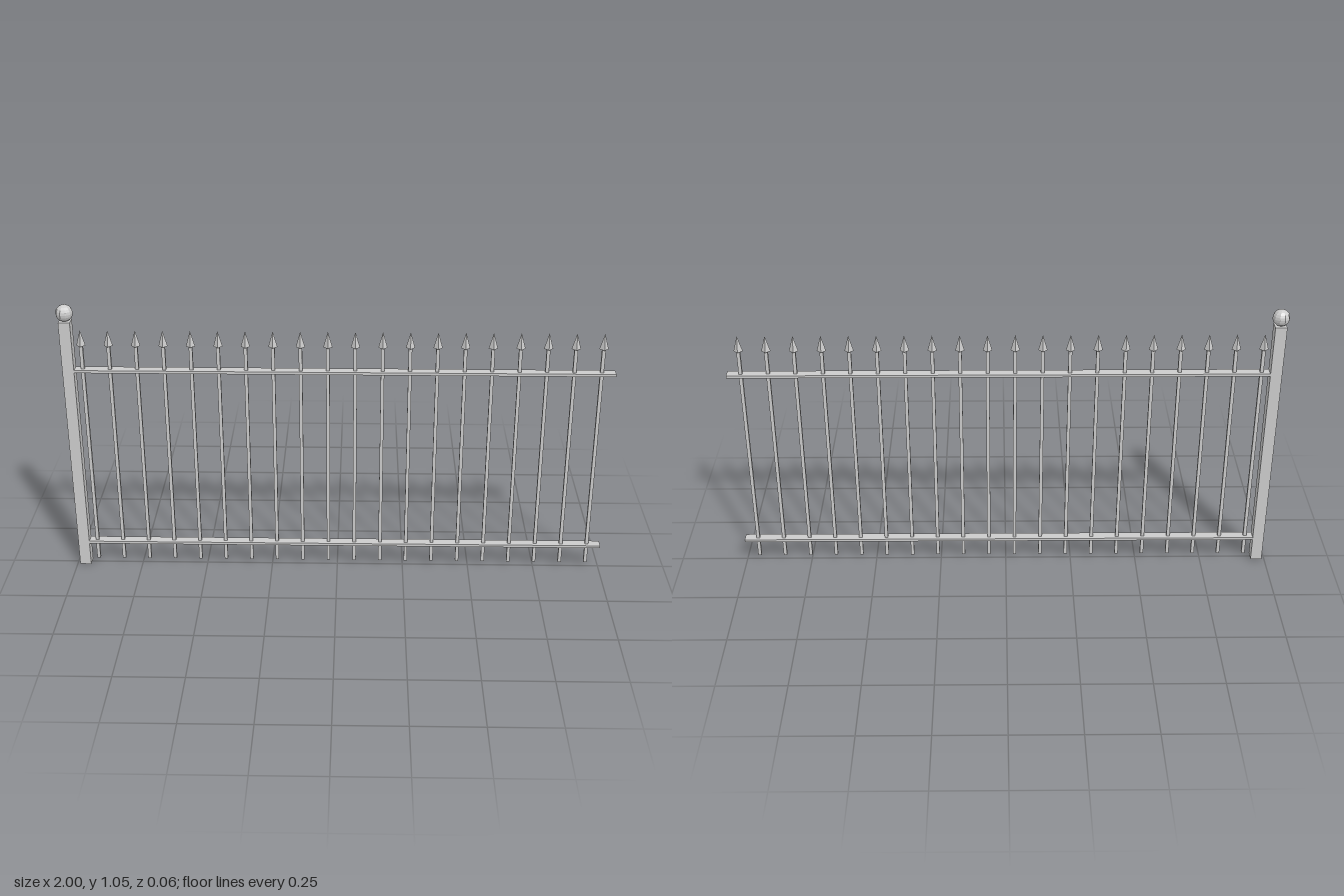
import * as THREE from 'three';

const material = new THREE.MeshStandardMaterial({ color: 0xcccccc, flatShading: true });

function add(parent, name, geometry, x, y, z = 0) {
  const mesh = new THREE.Mesh(geometry, material);
  mesh.name = name;
  mesh.position.set(x, y, z);
  parent.add(mesh);
  return mesh;
}

export function createModel() {
  const fence = new THREE.Group();
  fence.name = 'fence';

  // End post with ball finial
  const postX = -0.969, postHeight = 0.994, ballRadius = 0.031;
  add(fence, 'post', new THREE.BoxGeometry(0.042, postHeight, 0.042), postX, postHeight / 2);
  add(fence, 'postBall', new THREE.SphereGeometry(ballRadius, 10, 10), postX, postHeight + ballRadius - 0.001);

  // Flat horizontal rails, running from the post to the open end
  const railStart = -0.95, railEnd = 1;
  const railGeometry = new THREE.BoxGeometry(railEnd - railStart, 0.01, 0.038);
  for (const [name, y] of [['lowerRail', 0.095], ['upperRail', 0.805]]) {
    add(fence, name, railGeometry, (railStart + railEnd) / 2, y);
  }

  // Evenly spaced square pickets with four-sided spear tips, corners facing front
  const count = 20, firstX = -0.919, lastX = 0.95;
  const bottom = 0.02, shoulder = 0.9, tipTop = 0.959;
  const barGeometry = new THREE.BoxGeometry(0.0125, shoulder - bottom, 0.0125);
  const tipGeometry = new THREE.ConeGeometry(0.0165, tipTop - shoulder, 4);
  for (let i = 0; i < count; i++) {
    const picket = new THREE.Group();
    picket.name = `picket${i + 1}`;
    picket.position.x = THREE.MathUtils.lerp(firstX, lastX, i / (count - 1));
    add(picket, 'picketBar', barGeometry, 0, (bottom + shoulder) / 2);
    add(picket, 'spearTip', tipGeometry, 0, (shoulder + tipTop) / 2);
    fence.add(picket);
  }
  return fence;
}
